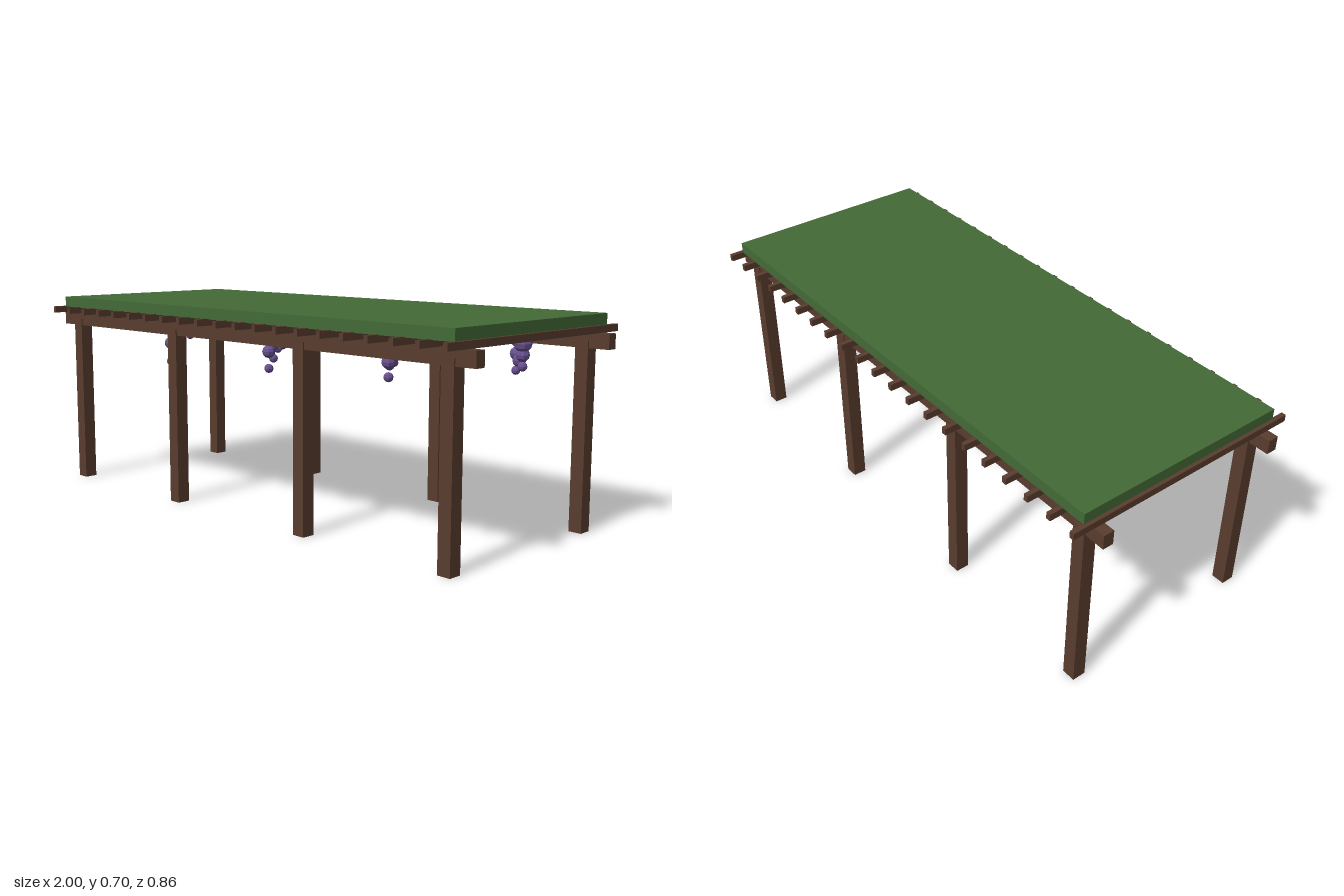
import * as THREE from 'three';

export function createModel() {
  const model = new THREE.Group();
  model.name = 'pergola';

  const material = (name, color) => {
    const m = new THREE.MeshStandardMaterial({ color });
    m.name = name;
    return m;
  };
  const wood = material('brown wood', 0x5a3d2e);
  const leaf = material('leaf green', 0x446a37);
  const purple = material('blossom purple', 0x6a5292);
  purple.flatShading = true;

  const addBox = (name, mat, w, h, d, x, y, z) => {
    const mesh = new THREE.Mesh(new THREE.BoxGeometry(w, h, d), mat);
    mesh.name = name;
    mesh.position.set(x, y, z);
    model.add(mesh);
  };

  // Two rows of posts, each carrying a long beam
  for (const z of [-0.333, 0.333]) {
    for (const x of [-0.906, -0.318, 0.318, 0.906]) {
      addBox('post', wood, 0.046, 0.62, 0.046, x, 0.31, z);
    }
    addBox('beam', wood, 2, 0.049, 0.037, 0, 0.6205, z);
  }

  // Cross rafters
  for (let i = 0; i < 21; i++) {
    addBox('rafter', wood, 0.016, 0.023, 0.855, -0.954 + i * 0.0954, 0.6565, 0);
  }

  // Leaf canopy
  addBox('canopy', leaf, 1.9, 0.038, 0.762, 0, 0.685, 0);

  // Hanging blossom clusters, each a string of shrinking balls
  const radii = [0.0285, 0.0215, 0.015];
  const balls = radii.map((r) => new THREE.SphereGeometry(r, 8, 6));
  for (let i = 0; i < 25; i++) {
    const cluster = new THREE.Group();
    cluster.name = 'blossomCluster';
    cluster.position.set(-0.905 + i * 0.0737, 0.625, -0.31 + ((i * 0.0881) % 0.62));
    const count = i % 4 === 0 || [0, 1, 6].includes(i % 7) ? 3 : 2;
    const drop = 0.035 + 0.01 * (i % 4);
    for (let j = 0; j < count; j++) {
      const ball = new THREE.Mesh(balls[j], purple);
      ball.name = 'blossom';
      ball.position.y = -j * drop;
      cluster.add(ball);
    }
    model.add(cluster);
  }

  return model;
}
